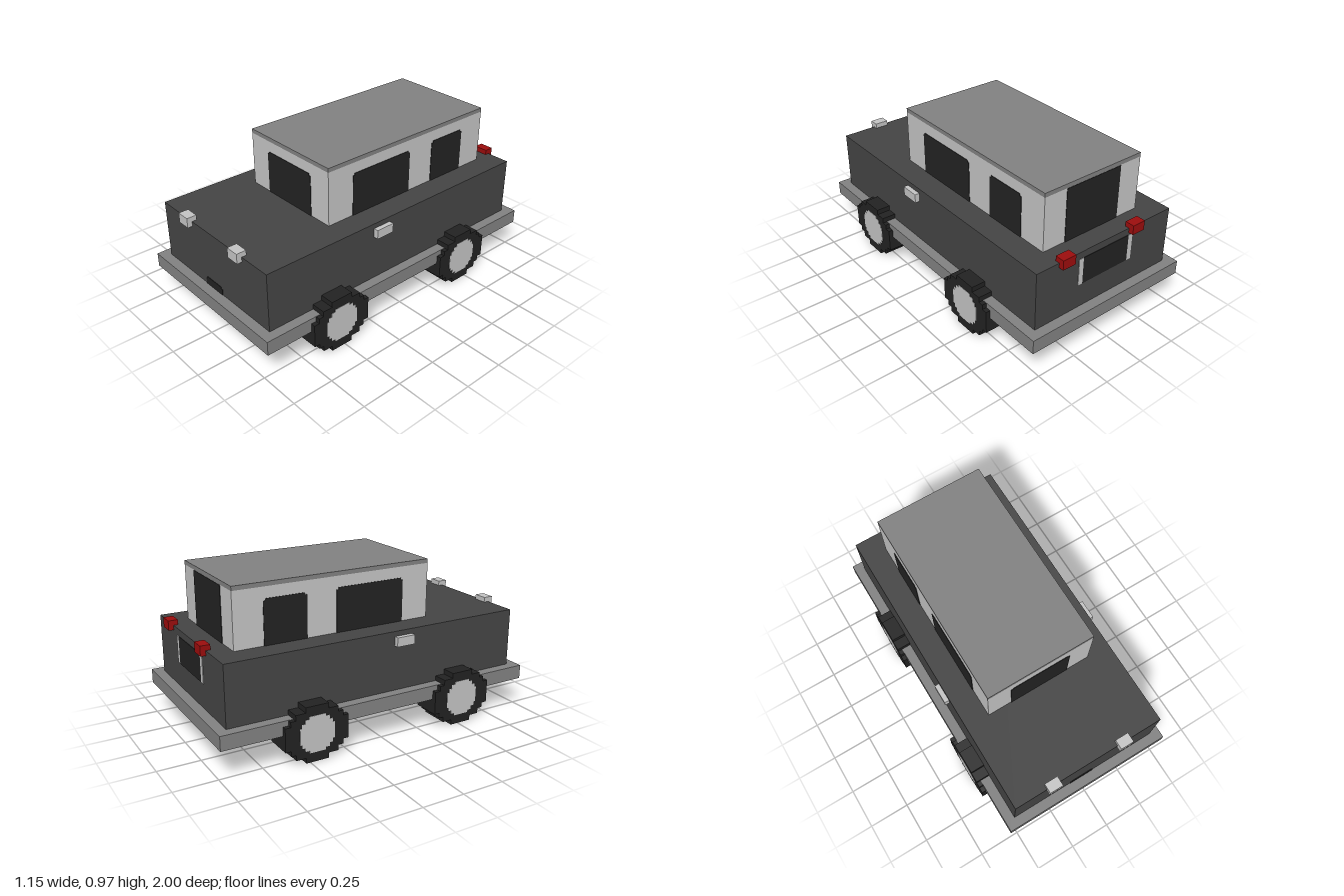
import * as THREE from 'three';

const material = (name, color) => {
  const m = new THREE.MeshStandardMaterial({ color });
  m.name = name;
  return m;
};

// Mirrors a stepped first-quadrant outline into a closed shape
function steppedShape(quadrant) {
  const back = [...quadrant].reverse();
  const points = [
    ...quadrant,
    ...back.map(([x, y]) => [-x, y]),
    ...quadrant.map(([x, y]) => [-x, -y]),
    ...back.map(([x, y]) => [x, -y]),
  ];
  return new THREE.Shape(points.map(([x, y]) => new THREE.Vector2(x, y)));
}

// Extrudes a shape, centred on its depth
function slab(shape, depth) {
  const g = new THREE.ExtrudeGeometry(shape, { depth, bevelEnabled: false });
  g.translate(0, 0, -depth / 2);
  return g;
}

export function createModel() {
  const charcoal = material('charcoal paint', 0x444444);
  const grey = material('grey trim', 0x808080);
  const silver = material('light silver', 0xc2c2c2);
  const black = material('black', 0x222222);
  const red = material('red lamp', 0x9a0d0d);

  const model = new THREE.Group();
  model.name = 'car';

  const add = (name, geometry, mat, x = 0, y = 0, z = 0, turn = 0) => {
    const mesh = new THREE.Mesh(geometry, mat);
    mesh.name = name;
    mesh.position.set(x, y, z);
    mesh.rotation.y = turn;
    model.add(mesh);
    return mesh;
  };
  // Box given by its limits on each axis
  const box = (name, mat, [x0, x1], [y0, y1], [z0, z1]) =>
    add(name, new THREE.BoxGeometry(x1 - x0, y1 - y0, z1 - z0), mat,
      (x0 + x1) / 2, (y0 + y1) / 2, (z0 + z1) / 2);

  // Thin plate with notched corners
  const notch = 0.012;
  const plate = (width, height) => {
    const w = width / 2, h = height / 2;
    return slab(steppedShape([[w, h - notch], [w - notch, h - notch], [w - notch, h]]), 0.006);
  };

  // Body, bumper band, cabin and roof
  box('body', charcoal, [-0.485, 0.485], [0.15, 0.62], [-0.94, 0.94]);
  box('bumperBand', grey, [-0.545, 0.545], [0.18, 0.265], [-1, 1]);
  box('cabin', silver, [-0.338, 0.338], [0.62, 0.945], [-0.82, 0.41]);
  box('roof', grey, [-0.338, 0.338], [0.945, 0.97], [-0.82, 0.41]);

  // Windows, their lower edges tucked into the body
  add('windshield', plate(0.38, 0.28), black, 0, 0.74, 0.41);
  box('rearWindow', black, [-0.19, 0.19], [0.62, 0.943], [-0.823, -0.817]);
  for (const side of [-1, 1]) {
    add('frontSideWindow', plate(0.437, 0.28), black, side * 0.338, 0.74, 0.017, Math.PI / 2);
    add('rearSideWindow', plate(0.26, 0.28), black, side * 0.338, 0.74, -0.515, Math.PI / 2);
  }

  // Front intake and rear panel with its light edges
  add('frontIntake', plate(0.157, 0.1), black, -0.017, 0.263, 0.94);
  box('rearPanel', black, [-0.165, 0.165], [0.413, 0.578], [-0.943, -0.937]);
  for (const x of [-0.18, 0.18])
    box('rearPanelEdge', silver, [x - 0.015, x + 0.015], [0.413, 0.578], [-0.943, -0.937]);

  // Lamps and side mirrors
  for (const x of [-0.237, 0.233])
    box('headlight', silver, [x - 0.042, x + 0.042], [0.59, 0.65], [0.91, 0.97]);
  for (const x of [-0.208, 0.292])
    box('tailLight', red, [x - 0.043, x + 0.043], [0.592, 0.65], [-0.97, -0.913]);
  for (const side of [-1, 1])
    add('sideMirror', new THREE.BoxGeometry(0.035, 0.055, 0.118), silver, side * 0.4965, 0.5625, 0.15);

  // Stepped wheels with hubs showing on both faces
  const tyre = slab(steppedShape([
    [0.193, 0.07], [0.16, 0.07], [0.16, 0.1], [0.13, 0.1],
    [0.13, 0.132], [0.07, 0.132], [0.07, 0.163],
  ]), 0.173);
  const hub = slab(steppedShape([
    [0.106, 0.048], [0.094, 0.048], [0.094, 0.07], [0.075, 0.07],
    [0.075, 0.092], [0.05, 0.092], [0.05, 0.107],
  ]), 0.177);
  for (const side of [-1, 1])
    for (const z of [0.52, -0.455]) {
      add('tyre', tyre, black, side * 0.4855, 0.163, z, Math.PI / 2);
      add('hub', hub, silver, side * 0.4855, 0.163, z, Math.PI / 2);
    }

  return model;
}
